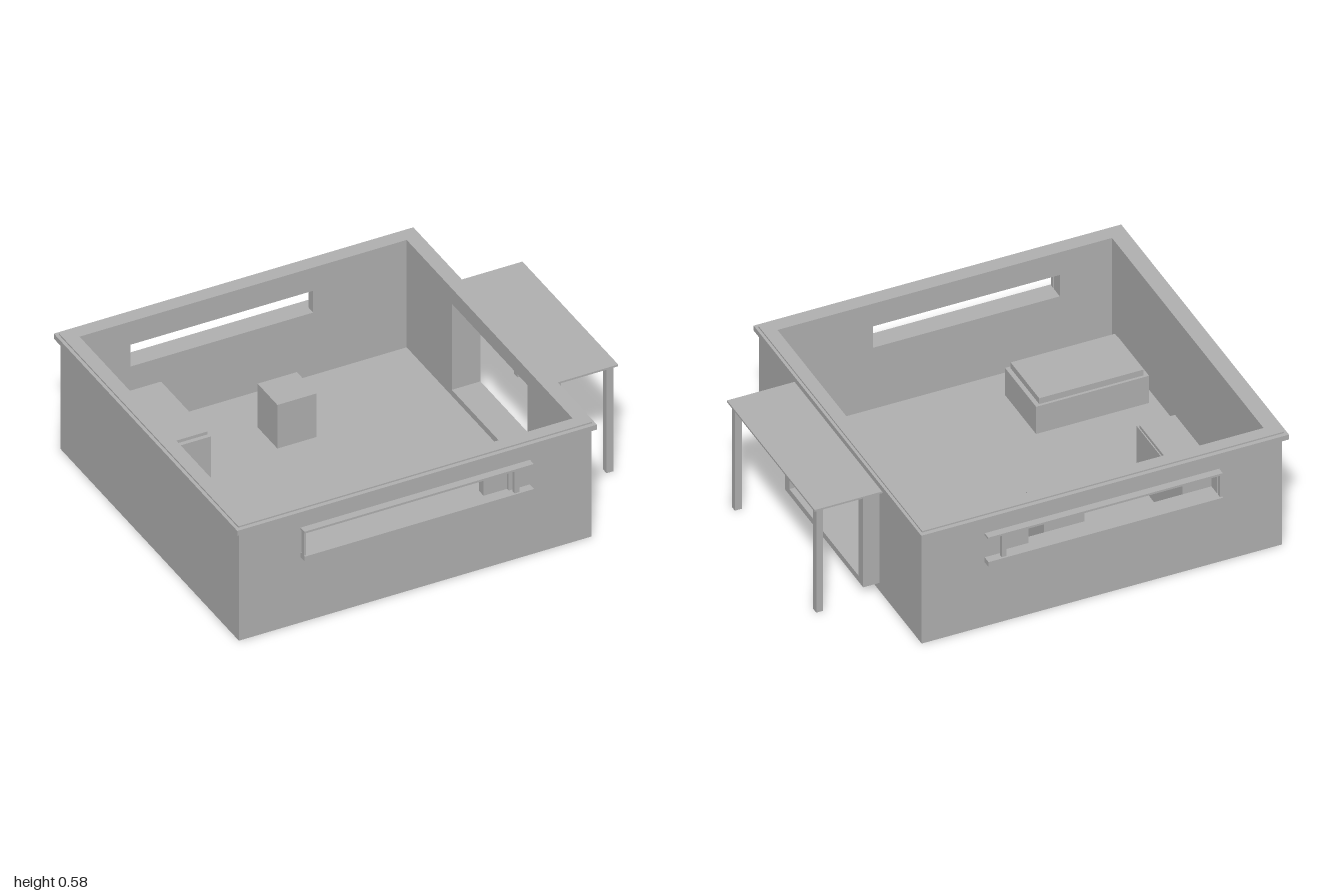
import * as THREE from 'three';

export function createModel() {
  const model = new THREE.Group();
  const grey = new THREE.MeshStandardMaterial({ color: 0xb2b2b2 });
  grey.name = 'plain grey';

  const add = (name, geometry, parent = model) => {
    const mesh = new THREE.Mesh(geometry, grey);
    mesh.name = name;
    parent.add(mesh);
    return mesh;
  };
  // Box given by its limits on each axis
  const box = (name, x0, x1, y0, y1, z0, z1, parent) => {
    const g = new THREE.BoxGeometry(x1 - x0, y1 - y0, z1 - z0);
    g.translate((x0 + x1) / 2, (y0 + y1) / 2, (z0 + z1) / 2);
    return add(name, g, parent);
  };
  const trace = (path, a0, a1, b0, b1) => {
    path.moveTo(a0, b0);
    path.lineTo(a1, b0);
    path.lineTo(a1, b1);
    path.lineTo(a0, b1);
    path.closePath();
    return path;
  };
  // Rectangular slab with one rectangular hole, extruded along z
  const holed = (outer, inner, depth) => {
    const shape = trace(new THREE.Shape(), ...outer);
    shape.holes.push(trace(new THREE.Path(), ...inner));
    return new THREE.ExtrudeGeometry(shape, { depth, bevelEnabled: false });
  };

  // Floor slab and solid left-hand end wall
  box('floor', -0.98, 0.68, 0, 0.04, -0.8, 0.8);
  box('endWall', -0.98, -0.92, 0.04, 0.55, -0.745, 0.745);

  // Long walls with strip windows, mirrored front and back
  for (const side of [1, -1]) {
    const name = side > 0 ? 'front' : 'back';
    const z = (a, b) => (side > 0 ? [a, b] : [-b, -a]);
    const wall = add(name + 'Wall',
      holed([-0.98, 0.68, 0.04, 0.55], [-0.68, 0.29, 0.355, 0.465], 0.055));
    wall.position.z = side > 0 ? 0.745 : -0.8;
    box(name + 'WindowInfill', 0.18, 0.29, 0.355, 0.465, ...z(0.745, 0.785));
    box(name + 'WindowSill', -0.69, 0.39, 0.33, 0.355, ...z(0.8, 0.838));
    box(name + 'WindowHood', -0.69, 0.39, 0.469, 0.479, ...z(0.8, 0.835));
    box(name + 'WindowPost', 0.303, 0.325, 0.355, 0.469, ...z(0.81, 0.83));
    box(name + 'WindowEndPost', -0.69, -0.68, 0.355, 0.469, ...z(0.81, 0.83));
  }

  // Entrance wall with doorway; the shape's x runs along z
  const doorWall = holed([-0.745, 0.745, 0.04, 0.55], [-0.34, 0.34, 0.07, 0.505], 0.06);
  doorWall.rotateY(Math.PI / 2).translate(0.62, 0, 0);
  add('entranceWall', doorWall);

  // Projecting door surround and its cap
  const surround = holed([-0.385, 0.385, 0.04, 0.515], [-0.34, 0.34, 0.07, 0.505], 0.075);
  surround.rotateY(Math.PI / 2).translate(0.68, 0, 0);
  add('doorSurround', surround);
  box('doorCap', 0.68, 0.775, 0.515, 0.526, -0.405, 0.405);

  // Two-step coping around the wall tops
  const ring = (name, x0, x1, z, y0, y1) => {
    const g = holed([x0, x1, -z, z], [-0.92, 0.62, -0.745, 0.745], y1 - y0);
    g.rotateX(-Math.PI / 2).translate(0, y0, 0);
    add(name, g);
  };
  ring('coping', -1, 0.693, 0.824, 0.55, 0.575);
  ring('copingTop', -0.985, 0.68, 0.805, 0.575, 0.582);

  // Porch canopy on two posts
  box('porchRoof', 0.68, 1, 0.534, 0.543, -0.43, 0.43);
  for (const z of [-0.4, 0.4]) box('porchPost', 0.953, 0.985, 0, 0.534, z - 0.015, z + 0.015);

  // Counter and small cabinet
  box('counter', -0.775, -0.6, 0.04, 0.32, -0.633, -0.177);
  box('counterTop', -0.77, -0.605, 0.32, 0.335, -0.61, -0.197);
  box('cabinet', -0.205, -0.02, 0.04, 0.26, -0.51, -0.332);

  // Large low bed
  box('largeBedBase', -0.88, -0.36, 0.04, 0.18, 0.295, 0.6);
  box('largeBedMattress', -0.86, -0.38, 0.18, 0.21, 0.307, 0.588);

  // Narrow bed on legs with a pillow
  const bed = new THREE.Group();
  bed.name = 'narrowBed';
  model.add(bed);
  for (const x of [0.435, 0.585])
    for (const z of [0.385, 0.715]) box('bedLeg', x, x + 0.015, 0.04, 0.065, z, z + 0.015, bed);
  box('bedBase', 0.42, 0.615, 0.065, 0.115, 0.37, 0.738, bed);
  box('bedMattress', 0.42, 0.61, 0.12, 0.175, 0.373, 0.733, bed);
  box('bedSlats', 0.43, 0.6, 0.115, 0.12, 0.38, 0.725, bed);
  box('pillow', 0.44, 0.59, 0.175, 0.2, 0.63, 0.72, bed);

  return model;
}
